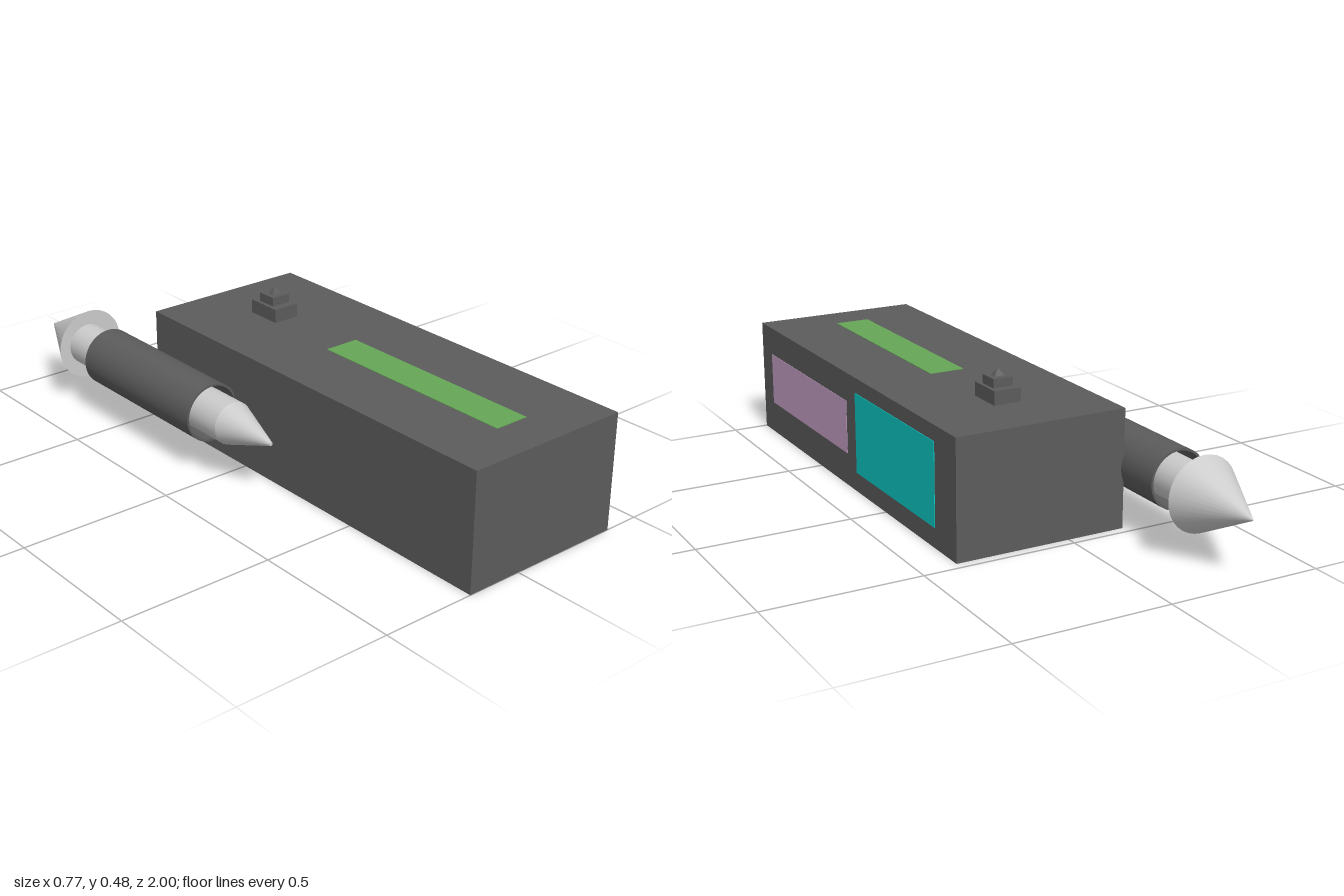
import * as THREE from 'three';

const paint = (color, side = THREE.FrontSide) => new THREE.MeshStandardMaterial({ color, side });

export function createModel() {
  const model = new THREE.Group();
  model.name = 'boxWithMissile';

  const dark = paint(0x5c5c5c);
  const grey = paint(0xcccccc);

  const add = (parent, name, geometry, material, x = 0, y = 0, z = 0) => {
    const mesh = new THREE.Mesh(geometry, material);
    mesh.name = name;
    mesh.position.set(x, y, z);
    parent.add(mesh);
    return mesh;
  };

  // Box given by its low and high corners
  const block = (name, [x0, y0, z0], [x1, y1, z1], material) =>
    add(model, name, new THREE.BoxGeometry(x1 - x0, y1 - y0, z1 - z0), material,
      (x0 + x1) / 2, (y0 + y1) / 2, (z0 + z1) / 2);

  // Round part along z, with a radius at its back and front ends
  const round = (parent, name, rBack, rFront, zBack, zFront, x, y) => {
    const geometry = new THREE.CylinderGeometry(rFront, rBack, zFront - zBack, 32);
    geometry.rotateX(Math.PI / 2);
    return add(parent, name, geometry, grey, x, y, (zBack + zFront) / 2);
  };

  // Main body
  block('body', [-0.19, 0, -0.47], [0.38, 0.383, 1], dark);

  // Thin coloured panels on the top and the left side
  block('topPanel', [0.035, 0.37, 0.13], [0.153, 0.385, 0.857], paint(0x65a757));
  block('frontSidePanel', [0.37, 0.11, 0.28], [0.3815, 0.288, 0.915], paint(0xc8a2c8));
  block('rearSidePanel', [0.37, 0.065, -0.337], [0.382, 0.333, 0.21], paint(0x0ccac6));

  // Stepped turret with a small pyramid cap
  block('turretBase', [0.049, 0.38, -0.264], [0.14, 0.428, -0.142], dark);
  block('turretStep', [0.062, 0.428, -0.237], [0.128, 0.457, -0.17], dark);
  const cap = new THREE.CylinderGeometry(0.15, Math.SQRT1_2, 1, 4, 1).toNonIndexed();
  cap.rotateY(Math.PI / 4);
  cap.scale(0.034, 0.019, 0.026);
  cap.computeVertexNormals();
  add(model, 'turretCap', cap, dark, 0.095, 0.4665, -0.203);

  // Hollow launch tube: ring extruded along z
  const ring = new THREE.Shape().absarc(0, 0, 0.096, 0, Math.PI * 2);
  ring.holes.push(new THREE.Path().absarc(0, 0, 0.089, 0, Math.PI * 2, true));
  const tube = new THREE.ExtrudeGeometry(ring, { depth: 0.575, bevelEnabled: false, curveSegments: 32 });
  add(model, 'launchTube', tube, dark, -0.276, 0.193, -0.63);

  // Missile, nose pointing to the back
  const missile = new THREE.Group();
  missile.name = 'missile';
  model.add(missile);
  round(missile, 'missileBody', 0.07, 0.07, -0.765, 0.05, -0.275, 0.195);
  round(missile, 'missileTail', 0.07, 0.006, 0.05, 0.237, -0.275, 0.195);
  round(missile, 'missileNose', 0.001, 0.12, -1, -0.765, -0.265, 0.1925);

  return model;
}
